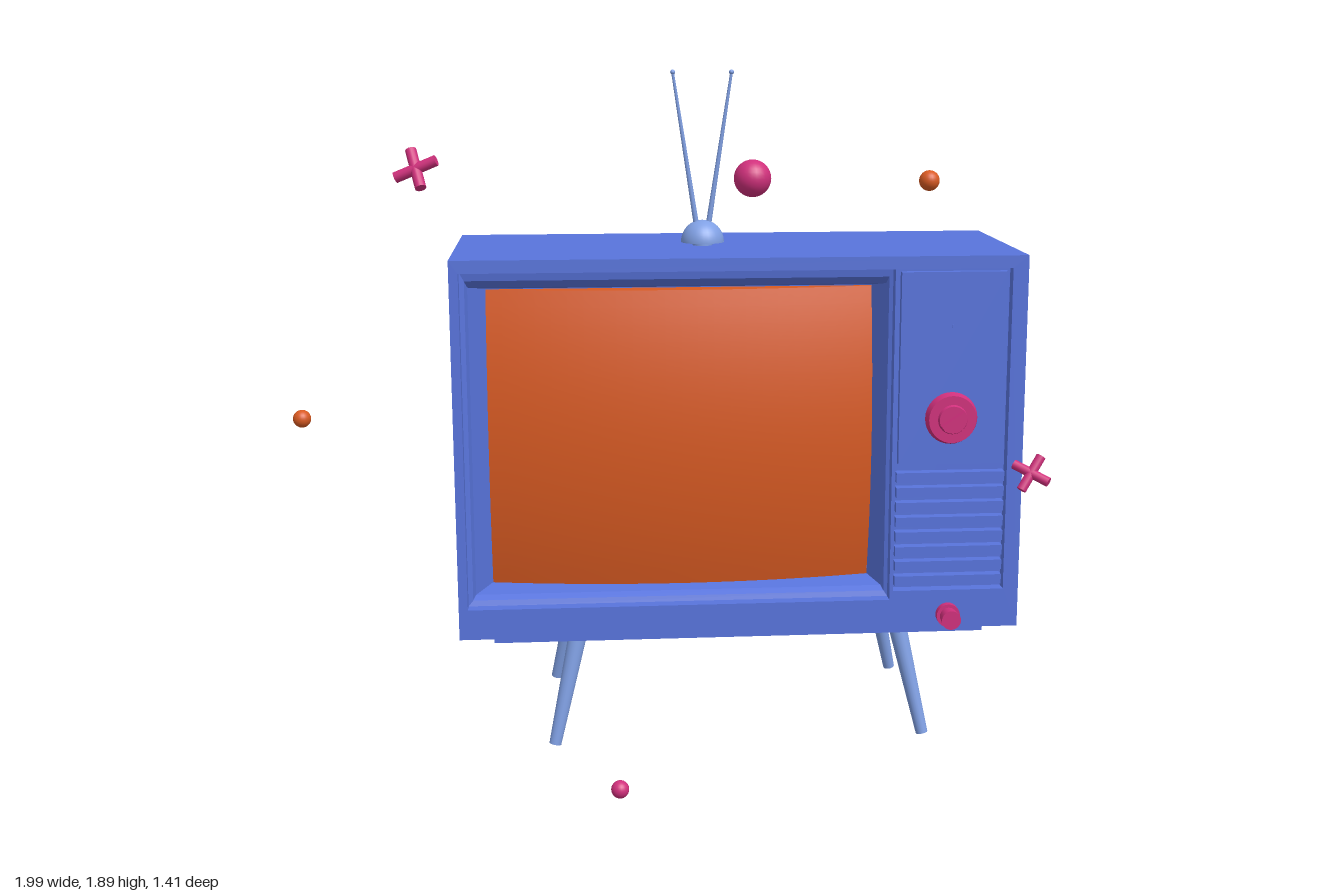
import * as THREE from 'three';

const mat = (color) => new THREE.MeshStandardMaterial({ color });
const BLUE = mat(0x5874dc), PALE = mat(0x80a0e4), ORANGE = mat(0xd85a22), PINK = mat(0xd0307c);
const SHELL = mat(0x5874dc);
SHELL.side = THREE.DoubleSide;
SHELL.flatShading = true;

function add(parent, name, geo, material, x = 0, y = 0, z = 0) {
  const m = new THREE.Mesh(geo, material);
  m.name = name;
  m.position.set(x, y, z);
  parent.add(m);
  return m;
}

// Box given by its limits
function block(parent, name, [x0, x1, y0, y1], z0, z1, material = BLUE) {
  return add(parent, name, new THREE.BoxGeometry(x1 - x0, y1 - y0, z1 - z0), material,
    (x0 + x1) / 2, (y0 + y1) / 2, (z0 + z1) / 2);
}

const corners = ([x0, x1, y0, y1]) => [[x0, y0], [x1, y0], [x1, y1], [x0, y1]];
const path = (r, Type) => new Type(corners(r).map(([x, y]) => new THREE.Vector2(x, y)));

// Slab with rectangular openings
function slab(parent, name, outer, holes, z0, z1) {
  const shape = path(outer, THREE.Shape);
  shape.holes = holes.map((h) => path(h, THREE.Path));
  return add(parent, name, new THREE.ExtrudeGeometry(shape, { depth: z1 - z0, bevelEnabled: false }), BLUE, 0, 0, z0);
}

// Rectangular rings [rect, z] joined by flat walls
function loft(parent, name, rings) {
  const pos = [];
  for (let i = 0; i + 1 < rings.length; i++) {
    const a = corners(rings[i][0]).map((p) => [...p, rings[i][1]]);
    const b = corners(rings[i + 1][0]).map((p) => [...p, rings[i + 1][1]]);
    for (let k = 0; k < 4; k++) {
      const n = (k + 1) % 4;
      pos.push(...a[k], ...b[n], ...a[n], ...a[k], ...b[k], ...b[n]);
    }
  }
  const g = new THREE.BufferGeometry();
  g.setAttribute('position', new THREE.Float32BufferAttribute(pos, 3));
  g.computeVertexNormals();
  return add(parent, name, g, SHELL);
}

// Tapered round bar between two points
function bar(parent, name, a, b, ra, rb, material, sides = 16) {
  const p = new THREE.Vector3(...a), q = new THREE.Vector3(...b);
  const d = q.clone().sub(p);
  const m = add(parent, name, new THREE.CylinderGeometry(rb, ra, d.length(), sides), material);
  m.position.copy(p).add(q).multiplyScalar(0.5);
  m.quaternion.setFromUnitVectors(new THREE.Vector3(0, 1, 0), d.normalize());
  return m;
}

// Horizontal slats filling an opening
function slats(parent, name, [x0, x1, y0, y1], count, z0, z1) {
  const step = (y1 - y0) / count;
  for (let i = 0; i < count; i++) {
    const y = y0 + (i + 0.5) * step;
    block(parent, name, [x0, x1, y - step * 0.33, y + step * 0.33], z0, z1);
  }
}

function buildCabinet(tv) {
  const outer = [-0.78, 0.78, 0.355, 1.405];
  const screenHole = [-0.755, 0.415, 0.44, 1.37];
  const controlHole = [0.425, 0.737, 0.465, 1.37];
  const vent = [0.45, 0.75, 0.455, 1.275];
  slab(tv, 'cabinetFront', outer, [screenHole, controlHole], 0.18, 0.311);
  block(tv, 'cabinetCore', outer, -0.28, 0.18);
  slab(tv, 'cabinetBack', outer, [vent], -0.311, -0.28);
  slats(tv, 'backVentSlat', vent, 16, -0.308, -0.28);

  // Bezel sloping down to the bulged screen
  loft(tv, 'screenBezel', [
    [screenHole, 0.305], [screenHole, 0.275], [[-0.742, 0.405, 0.455, 1.345], 0.27],
    [[-0.735, 0.4, 0.465, 1.325], 0.25], [[-0.692, 0.372, 0.478, 1.312], 0.18],
  ]);
  const g = new THREE.BoxGeometry(1.06, 0.83, 0.02, 24, 18, 1);
  const p = g.attributes.position;
  for (let i = 0; i < p.count; i++) {
    if (p.getZ(i) < 0) continue;
    const u = p.getX(i) / 0.53, v = p.getY(i) / 0.415;
    p.setZ(i, 0.01 + 0.05 * (2 - u * u - v * v));
  }
  g.computeVertexNormals();
  add(tv, 'screen', g, ORANGE, -0.16, 0.895, 0.175);

  // Control panel, speaker grille and knobs
  block(tv, 'controlBacking', controlHole, 0.18, 0.275);
  block(tv, 'dialPanel', [0.435, 0.728, 0.825, 1.36], 0.27, 0.297);
  slats(tv, 'speakerSlat', [0.43, 0.732, 0.47, 0.81], 8, 0.27, 0.305);
  const dial = new THREE.Group();
  dial.name = 'dial';
  dial.position.set(0.58, 0.955, 0.297);
  tv.add(dial);
  bar(dial, 'dialDisc', [0, 0, 0], [0, 0, 0.022], 0.073, 0.066, PINK, 32);
  bar(dial, 'dialHub', [0, 0, 0.02], [0, 0, 0.03], 0.042, 0.038, PINK, 32);
  add(dial, 'dialGrip', new THREE.BoxGeometry(0.075, 0.016, 0.03), PINK, 0, 0, 0.038).rotation.z = 0.6;
  bar(tv, 'indicator', [0.58, 1.21, 0.29], [0.58, 1.21, 0.3], 0.005, 0.005, BLUE, 12);
  bar(tv, 'powerKnobBase', [0.58, 0.395, 0.311], [0.58, 0.395, 0.33], 0.033, 0.033, PINK, 24);
  bar(tv, 'powerKnob', [0.58, 0.395, 0.33], [0.58, 0.395, 0.372], 0.024, 0.027, PINK, 24);
}

function buildRear(tv) {
  // Tapered tube housing with two recessed sockets
  const face = [-0.645, 0.33, 0.515, 1.255];
  const panel = [-0.39, -0.2, 0.915, 1.045];
  const port = [-0.135, 0.035, 0.54, 0.71];
  loft(tv, 'tubeHousing', [[[-0.72, 0.405, 0.45, 1.32], -0.3], [face, -0.597]]);
  slab(tv, 'tubeHousingFace', face, [panel, port], -0.597, -0.567);
  block(tv, 'socketBacking', [-0.5, 0.15, 0.53, 1.15], -0.567, -0.55);
  for (let i = 0; i < 4; i++) for (let j = 0; j < 2; j++) {
    const x = -0.363 + i * 0.045, y = 0.954 + j * 0.052;
    bar(tv, 'terminal', [x, y, -0.565], [x, y, -0.588], 0.016, 0.016, PALE);
    bar(tv, 'terminalPin', [x, y, -0.585], [x, y, -0.597], 0.008, 0.008, PALE, 10);
  }
  const rounds = [[0.068, -0.6], [0.05, -0.61], [0.064, -0.63], [0.03, -0.637]];
  let z = -0.565;
  for (const [r, end] of rounds) {
    bar(tv, 'aerialSocket', [-0.05, 0.625, z], [-0.05, 0.625, end], r, r, PALE, 28);
    z = end;
  }
}

function buildStandAndAntenna(tv) {
  add(tv, 'basePlate', new THREE.BoxGeometry(1.372, 0.02, 0.572), BLUE, 0, 0.345, 0);
  for (const sx of [-1, 1]) for (const sz of [-1, 1])
    bar(tv, 'leg', [sx * 0.524, 0.027, sz * 0.272], [sx * 0.454, 0.34, sz * 0.224], 0.017, 0.026, PALE, 20);

  const antenna = new THREE.Group();
  antenna.name = 'antenna';
  antenna.position.set(-0.085, 1.405, 0);
  tv.add(antenna);
  bar(antenna, 'antennaFoot', [0, 0, 0], [0, 0.012, 0], 0.028, 0.028, PALE, 24);
  add(antenna, 'antennaDome', new THREE.SphereGeometry(0.061, 28, 12, 0, Math.PI * 2, 0, Math.PI / 2), PALE, 0, 0.01, 0);
  bar(antenna, 'antennaDomeBottom', [0, 0.009, 0], [0, 0.011, 0], 0.061, 0.061, PALE, 28);
  for (const s of [-1, 1]) {
    bar(antenna, 'antennaRod', [s * 0.016, 0.05, 0], [s * 0.082, 0.48, 0], 0.008, 0.004, PALE, 10);
    add(antenna, 'antennaTip', new THREE.SphereGeometry(0.007, 12, 8), PALE, s * 0.082, 0.482, 0);
  }
}

function buildFloaters(root) {
  for (const [x, y, r, m] of [
    [0.29, 1.65, 0.045, PINK], [0.72, 1.655, 0.024, ORANGE],
    [-0.975, 0.975, 0.024, ORANGE], [-0.07, 0.029, 0.024, PINK],
  ]) add(root, 'floatingBall', new THREE.SphereGeometry(r, 24, 16), m, x, y, 0.657);

  for (const [x, y, half, turn] of [[-0.75, 1.63, 0.062, 0.45], [0.945, 0.905, 0.05, -0.42]]) {
    const cross = new THREE.Group();
    cross.name = 'floatingCross';
    cross.position.set(x, y, 0.385);
    cross.rotation.set(-0.5, 0, turn);
    root.add(cross);
    const r = half * 0.25;
    bar(cross, 'crossArm', [-half, 0, 0], [half, 0, 0], r, r, PINK);
    bar(cross, 'crossArm', [0, -half, 0], [0, half, 0], r, r, PINK);
  }
}

export function createModel() {
  const root = new THREE.Group();
  const tv = new THREE.Group();
  tv.name = 'television';
  tv.position.set(0.025, 0, -0.03);
  tv.rotation.y = 0.39;
  root.add(tv);
  buildCabinet(tv);
  buildRear(tv);
  buildStandAndAntenna(tv);
  buildFloaters(root);
  return root;
}
